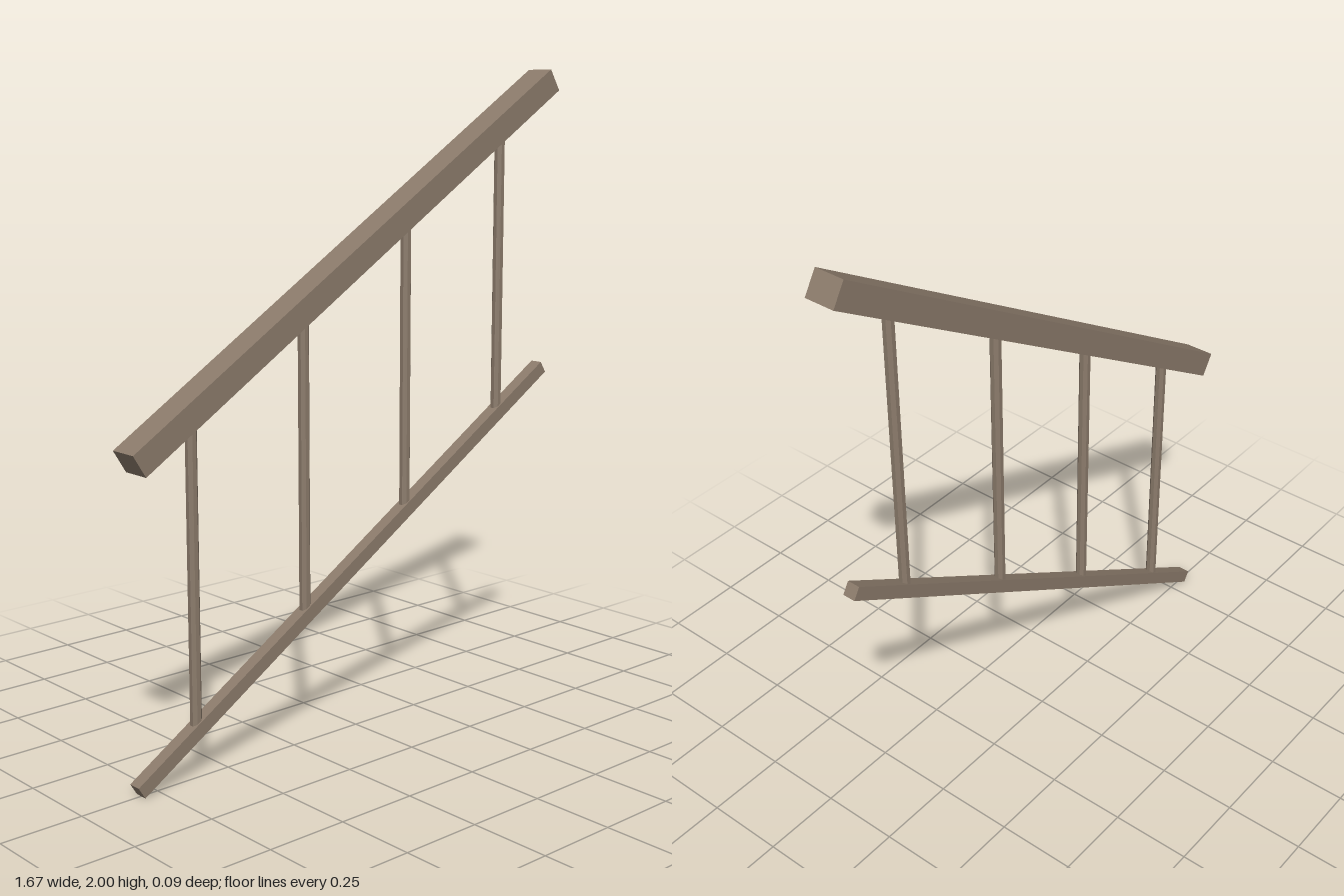
import * as THREE from 'three';

const slope = THREE.MathUtils.degToRad(32);
const railLength = 1.925;
const topY = 1.458, bottomY = 0.528; // rail centre heights at x = 0

export function createModel() {
  const group = new THREE.Group();
  const wood = new THREE.MeshStandardMaterial({ color: 0x8b7b6b, flatShading: true });

  const addRail = (name, y, thickness, depth) => {
    const rail = new THREE.Mesh(new THREE.BoxGeometry(railLength, thickness, depth), wood);
    rail.name = name;
    rail.position.y = y;
    rail.rotation.z = slope;
    group.add(rail);
  };

  // Sloping rails
  addRail('handrail', topY, 0.077, 0.094);
  addRail('bottomRail', bottomY, 0.041, 0.041);

  // Upright balusters, ends buried in the rails
  const balusters = new THREE.Group();
  balusters.name = 'balusters';
  const geometry = new THREE.CylinderGeometry(0.0172, 0.0172, topY - bottomY, 8);
  geometry.rotateY(Math.PI / 8);
  for (let i = 0; i < 4; i++) {
    const x = (i - 1.5) * 0.408;
    const baluster = new THREE.Mesh(geometry, wood);
    baluster.name = `baluster${i + 1}`;
    baluster.position.set(x, (topY + bottomY) / 2 + x * Math.tan(slope), 0);
    balusters.add(baluster);
  }
  group.add(balusters);

  return group;
}
